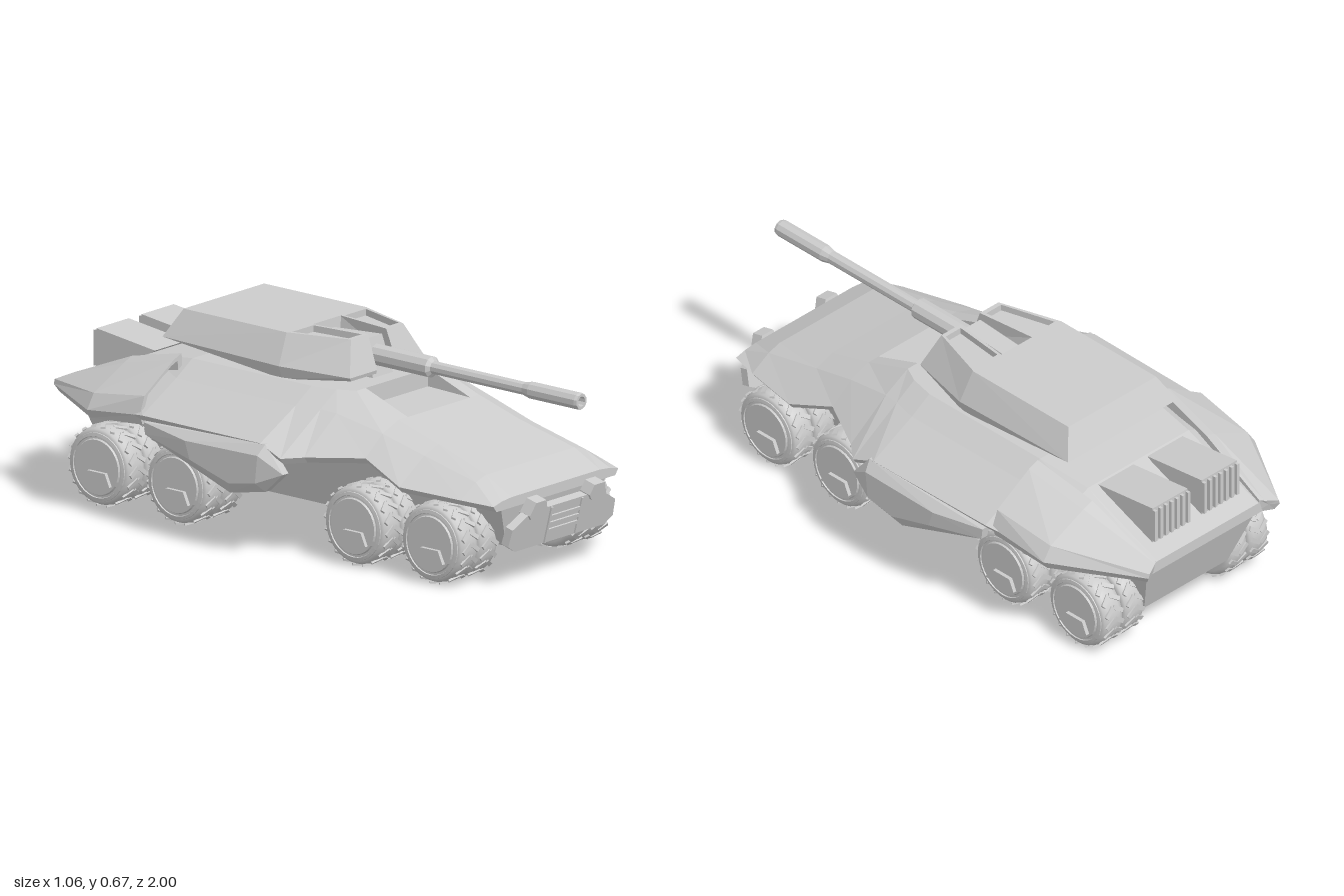
import * as THREE from 'three';
import { mergeGeometries } from 'three/addons/utils/BufferGeometryUtils.js';
import { ConvexGeometry } from 'three/addons/geometries/ConvexGeometry.js';

const flat = new THREE.MeshStandardMaterial({ color: 0xcccccc, flatShading: true });
const smooth = new THREE.MeshStandardMaterial({ color: 0xcccccc });

function add(parent, name, geometry, material = flat) {
  const mesh = new THREE.Mesh(geometry, material);
  mesh.name = name;
  parent.add(mesh);
  return mesh;
}

// Closed skin through rings of [x, y, z] points, turned outward by its signed volume
function loft(rings) {
  const tris = [];
  const n = rings[0].length;
  for (let r = 0; r < rings.length - 1; r++) {
    for (let i = 0; i < n; i++) {
      const j = (i + 1) % n, a = rings[r], b = rings[r + 1];
      tris.push([a[i], a[j], b[j]], [a[i], b[j], b[i]]);
    }
  }
  const cap = (ring, flip) => {
    const c = [0, 1, 2].map(k => ring.reduce((s, p) => s + p[k], 0) / n);
    ring.forEach((p, i) => {
      const q = ring[(i + 1) % n];
      tris.push(flip ? [c, q, p] : [c, p, q]);
    });
  };
  cap(rings[0], true);
  cap(rings[rings.length - 1], false);
  const v = p => new THREE.Vector3(...p);
  const volume = tris.reduce((s, t) => s + v(t[0]).dot(v(t[1]).cross(v(t[2]))), 0);
  if (volume < 0) tris.forEach(t => t.reverse());
  const g = new THREE.BufferGeometry();
  g.setAttribute('position', new THREE.Float32BufferAttribute(tris.flat(2), 3));
  g.computeVertexNormals();
  return g;
}

const flipX = (points, s) => points.map(([x, y, z]) => [x * s, y, z]);
const fullRing = half => [...half, ...flipX(half, -1).reverse()];
const convex = points => new ConvexGeometry(points.map(p => new THREE.Vector3(...p)));
const shape = points => new THREE.Shape(points.map(p => new THREE.Vector2(...p)));
const extrude = (points, depth) =>
  new THREE.ExtrudeGeometry(shape(points), { depth, bevelEnabled: false });

function buildHull(model) {
  // z, hatch notch depth, roof x/y, shoulder x/y, lip x/y
  const sections = [
    [0.89, 0, 0.22, 0.30, 0.27, 0.295, 0.31, 0.285],
    [0.78, 0, 0.22, 0.355, 0.27, 0.34, 0.345, 0.295],
    [0.56, 0, 0.20, 0.415, 0.27, 0.39, 0.395, 0.31],
    [0.39, 0, 0.20, 0.465, 0.28, 0.435, 0.365, 0.37],
    [0.21, 0.06, 0.20, 0.53, 0.30, 0.475, 0.46, 0.36],
    [0.21, 0, 0.20, 0.53, 0.30, 0.475, 0.46, 0.36],
    [0.15, 0, 0.23, 0.53, 0.31, 0.48, 0.51, 0.355],
    [0.06, 0, 0.25, 0.53, 0.33, 0.48, 0.505, 0.39],
    [-0.45, 0, 0.25, 0.53, 0.33, 0.48, 0.50, 0.39],
    [-0.65, 0, 0.23, 0.505, 0.27, 0.485, 0.45, 0.36],
    [-0.97, 0, 0.23, 0.375, 0.25, 0.37, 0.28, 0.355],
  ];
  add(model, 'upperHull', loft(sections.map(([z, d, xt, yt, xs, ys, xl, yl]) => fullRing([
    [0.155, yt - d, z], [0.155, yt, z], [xt, yt, z], [xs, ys, z], [xl, yl, z], [xl - 0.015, yl - 0.02, z],
  ]))));

  add(model, 'lowerHull', loft([
    [[0.19, 0.12, 0.84], [0.27, 0.285, 0.885]],
    [[0.19, 0.12, 0.50], [0.26, 0.36, 0.40]],
    [[0.19, 0.12, -0.87], [0.26, 0.36, -0.955]],
  ].map(fullRing)));

  for (const s of [1, -1]) {
    const side = s > 0 ? 'left' : 'right';
    // Rear fender with a recessed front opening
    const front = [[0.27, 0.37], [0.28, 0.55], [0.32, 0.535], [0.465, 0.445], [0.488, 0.385], [0.475, 0.35]];
    const at = (pts, z, k = 1) => pts.map(([x, y]) => [0.38 + (x - 0.38) * k, 0.445 + (y - 0.445) * k, z]);
    add(model, side + 'RearFender', loft([
      at(front, -0.51, 0.8), at(front, -0.47, 0.8), at(front, -0.47),
      at([[0.25, 0.34], [0.26, 0.495], [0.30, 0.48], [0.45, 0.41], [0.483, 0.36], [0.465, 0.33]], -0.70),
      [[0.23, 0.335, -0.96], [0.235, 0.385, -0.97], [0.25, 0.38, -0.98], [0.295, 0.37, -1], [0.30, 0.355, -1], [0.29, 0.33, -0.985]],
    ].map(r => flipX(r, s))));

    // Hanging faceted side skirt
    const rim = [[0.39, 0.08], [0.37, -0.44], [0.33, -0.435], [0.20, -0.07], [0.23, 0.08], [0.30, 0.155]];
    add(model, side + 'SideSkirt', convex(flipX([
      ...rim.flatMap(([y, z]) => [[0.475, y, z], [0.503, y, z]]),
      [0.532, 0.355, 0.07], [0.532, 0.35, -0.24], [0.532, 0.29, -0.22], [0.532, 0.24, -0.05], [0.532, 0.26, 0.06],
    ], s)));

    // Exhaust housing with a slatted rear
    const exhaust = new THREE.Group();
    exhaust.name = side + 'Exhaust';
    const wedge = extrude([[0.66, 0.505], [0.91, 0.535], [0.91, 0.40], [0.80, 0.42]], 0.16);
    add(exhaust, 'exhaustHousing', wedge.rotateY(Math.PI / 2).translate(-0.08, 0, 0));
    for (let i = 0; i < 7; i++) {
      add(exhaust, 'exhaustSlat', new THREE.BoxGeometry(0.01, 0.12, 0.016))
        .position.set(-0.075 + i * 0.025, 0.468, -0.914);
    }
    exhaust.position.x = s * 0.112;
    model.add(exhaust);
  }
}

function buildBumper(model) {
  const bumper = new THREE.Group();
  bumper.name = 'bumper';
  const outline = [[0.22, -0.075], [0.26, -0.05], [0.255, 0.01], [0.18, 0.055], [0.11, 0.055], [0.10, 0.06]];
  add(bumper, 'bumperPlate', extrude([...outline, ...outline.map(([x, y]) => [-x, y]).reverse()], 0.03));
  for (const s of [1, -1]) {
    add(bumper, 'bumperBracket', convex(flipX([-0.005, 0.038].flatMap(z => [
      [0.105, 0.06, z], [0.12, 0.095, z], [0.17, 0.095, z], [0.19, 0.05, z], [0.18, 0.035, z], [0.12, 0.04, z],
    ]), s)));
    add(bumper, 'bumperMount', new THREE.BoxGeometry(0.06, 0.06, 0.06)).position.set(s * 0.13, 0, -0.02);
    add(bumper, 'bumperPost', new THREE.BoxGeometry(0.008, 0.13, 0.012)).position.set(s * 0.076, -0.008, 0.03);
  }
  for (const y of [-0.03, -0.005, 0.02]) {
    add(bumper, 'bumperSlat', new THREE.BoxGeometry(0.145, 0.012, 0.012)).position.set(0, y, 0.03);
  }
  bumper.position.set(0, 0.198, 0.893);
  bumper.rotation.x = 0.25;
  model.add(bumper);
}

function buildTurret(model) {
  const turret = new THREE.Group();
  turret.name = 'turret';
  model.add(turret);
  const both = pts => [...pts, ...flipX(pts, -1)];
  add(turret, 'turretBody', convex(both([
    [0.20, 0.672, -0.53], [0.20, 0.672, -0.09], [0.25, 0.58, -0.578], [0.25, 0.57, -0.08],
    [0.20, 0.545, -0.40], [0.235, 0.525, -0.08],
  ])));
  add(turret, 'turretRing', new THREE.CylinderGeometry(0.17, 0.17, 0.06, 32), smooth).position.set(0, 0.53, -0.24);

  // Front cheeks either side of the gun, with sunken top panels
  const top = [[0.07, 0.672, -0.095], [0.20, 0.672, -0.095], [0.13, 0.672, 0.125], [0.045, 0.672, 0.125]];
  const inset = y => top.map(([x, , z]) => [0.112 + (x - 0.112) * 0.8, y, 0.01 + (z - 0.01) * 0.86]);
  for (const s of [1, -1]) {
    add(turret, s > 0 ? 'leftCheek' : 'rightCheek', loft([
      [[0.05, 0.525, -0.09], [0.235, 0.525, -0.08], [0.175, 0.548, 0.165], [0.05, 0.548, 0.165]],
      [[0.055, 0.57, -0.09], [0.25, 0.57, -0.08], [0.185, 0.56, 0.168], [0.05, 0.56, 0.168]],
      top, inset(0.672), inset(0.65),
    ].map(r => flipX(r, s))));
  }
  add(turret, 'mantlet', convex(both([
    [0.05, 0.53, 0.15], [0.036, 0.655, 0.115], [0.036, 0.64, -0.10], [0.05, 0.53, -0.10],
  ])));

  // Gun barrel from the muzzle back to the sleeve, with a bored tip
  const profile = [[0.036, 0.10], [0.036, 0.36], [0.022, 0.37], [0.022, 0.76], [0.029, 0.79],
    [0.029, 0.99], [0.026, 1.0], [0.017, 1.0], [0.017, 0.95], [0, 0.95]];
  const barrel = new THREE.LatheGeometry(profile.map(p => new THREE.Vector2(...p)), 10);
  add(turret, 'gunBarrel', barrel.rotateX(Math.PI / 2)).position.y = 0.595;
}

function buildWheels(model) {
  const lathe = pts => new THREE.LatheGeometry(pts.map(p => new THREE.Vector2(...p)), 32).rotateZ(-Math.PI / 2);
  const tyre = lathe([[0.06, -0.046], [0.112, -0.046], [0.125, -0.04], [0.131, -0.025], [0.133, 0],
    [0.131, 0.025], [0.125, 0.04], [0.112, 0.046], [0.06, 0.046]]);
  const hub = lathe([[0.118, 0.08], [0.114, 0.096], [0.104, 0.098], [0.102, 0.093], [0.096, 0.093], [0.092, 0.1], [0, 0.1]]);
  const latch = extrude([[-0.065, -0.055], [0.065, -0.055], [0.045, -0.012], [-0.03, -0.012]], 0.025).rotateY(Math.PI / 2);

  // Chevron tread bars on both tyres
  const bars = [];
  for (const x of [-0.048, 0.048]) for (const s of [1, -1]) for (let i = 0; i < 20; i++) {
    bars.push(new THREE.BoxGeometry(0.044, 0.007, 0.015).rotateY(s * 0.65)
      .translate(x + s * 0.019, 0.132, 0).rotateX(i / 20 * Math.PI * 2));
  }
  const tread = mergeGeometries(bars);

  for (const s of [1, -1]) for (const z of [0.68, 0.35, -0.41, -0.745]) {
    const wheel = new THREE.Group();
    wheel.name = s > 0 ? 'leftWheel' : 'rightWheel';
    add(wheel, 'innerTyre', tyre, smooth).position.x = -0.048;
    add(wheel, 'outerTyre', tyre, smooth).position.x = 0.048;
    add(wheel, 'tread', tread);
    add(wheel, 'hubCap', hub, flat);
    add(wheel, 'hubLatch', latch).position.x = 0.088;
    wheel.position.set(s * 0.283, 0.137, z);
    if (s < 0) wheel.rotation.y = Math.PI;
    model.add(wheel);
  }
}

export function createModel() {
  const model = new THREE.Group();
  model.name = 'armouredVehicle';
  buildHull(model);
  buildBumper(model);
  buildTurret(model);
  buildWheels(model);
  return model;
}
